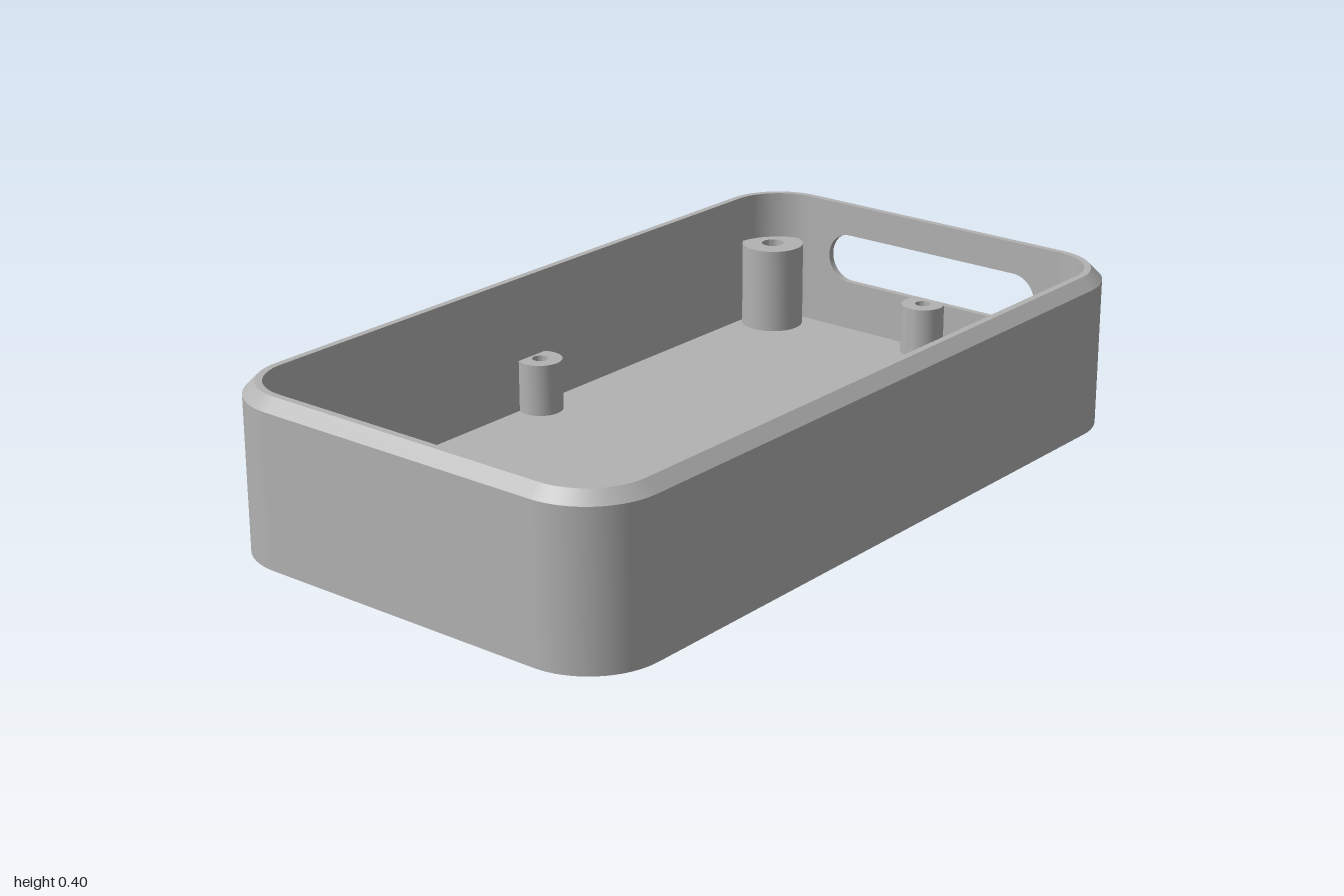
import * as THREE from 'three';
import { toCreasedNormals } from 'three/addons/utils/BufferGeometryUtils.js';

const HX = 0.82, HZ = 0.383;          // centres of the rounded corners
const R = 0.18, WALL = 0.045;         // outer corner radius, wall thickness
const H = 0.4, FLOOR = 0.06, CH = 0.028;
const SLOT = { half: 0.2545, y: 0.253, outer: 0.0925, inner: 0.0645 };
const STEPS = 16;                     // segments per quarter turn

// Sweep a profile of [radius, y] points round a rounded rectangle.
// An open sweep leaves out the straight stretch on the +x side.
function sweep(profile, hx, hz, open = false) {
  const pos = [], nor = [], idx = [];
  for (let p = 0; p < profile.length - 1; p++) {
    const [r0, y0] = profile[p], [r1, y1] = profile[p + 1];
    const len = Math.hypot(r1 - r0, y1 - y0);
    const nr = (y1 - y0) / len, ny = (r0 - r1) / len;
    const start = pos.length / 3, count = 4 * (STEPS + 1);
    for (let q = 0; q < 4; q++) {
      const cx = q === 0 || q === 3 ? hx : -hx, cz = q < 2 ? hz : -hz;
      for (let s = 0; s <= STEPS; s++) {
        const a = (q + s / STEPS) * Math.PI / 2, c = Math.cos(a), n = Math.sin(a);
        pos.push(cx + r0 * c, y0, cz + r0 * n, cx + r1 * c, y1, cz + r1 * n);
        nor.push(nr * c, ny, nr * n, nr * c, ny, nr * n);
      }
    }
    for (let i = 0; i < (open ? count - 1 : count); i++) {
      const a = start + 2 * i, b = start + 2 * ((i + 1) % count);
      idx.push(a, a + 1, b + 1, a, b + 1, b);
    }
  }
  const g = new THREE.BufferGeometry();
  g.setAttribute('position', new THREE.Float32BufferAttribute(pos, 3));
  g.setAttribute('normal', new THREE.Float32BufferAttribute(nor, 3));
  g.setIndex(idx);
  return g;
}

// Flat rounded rectangle with round holes; side is 1 facing up, -1 facing down
function plate(r, holes, side) {
  const s = new THREE.Shape();
  s.absarc(HX, HZ, r, 0, Math.PI / 2);
  s.absarc(-HX, HZ, r, Math.PI / 2, Math.PI);
  s.absarc(-HX, -HZ, r, Math.PI, Math.PI * 1.5);
  s.absarc(HX, -HZ, r, Math.PI * 1.5, Math.PI * 2);
  for (const h of holes) {
    const path = new THREE.Path();
    path.absarc(h.x, -side * h.z, h.bore, 0, Math.PI * 2, true);
    s.holes.push(path);
  }
  return new THREE.ShapeGeometry(s, STEPS / 2).rotateX(-side * Math.PI / 2);
}

// Flat side panel with the slot cut through it
function slotPanel(y0, y1, r, side) {
  const s = new THREE.Shape();
  s.moveTo(-HZ, y0).lineTo(HZ, y0).lineTo(HZ, y1).lineTo(-HZ, y1).closePath();
  const hole = new THREE.Path();
  hole.absarc(SLOT.half, SLOT.y, r, -Math.PI / 2, Math.PI / 2);
  hole.absarc(-SLOT.half, SLOT.y, r, Math.PI / 2, Math.PI * 1.5);
  s.holes.push(hole);
  return new THREE.ShapeGeometry(s, STEPS).rotateY(side * Math.PI / 2);
}

// Hollow post, open at the bottom; its back is trimmed inside the wall
function postGeometry({ x, z, radius, hole, bore, top, boreTop }) {
  const profile = [[radius, FLOOR], [radius, top], [hole, top]];
  if (bore > hole) profile.push([hole, boreTop], [bore, boreTop]);
  profile.push([bore, 0]);
  const lathe = new THREE.LatheGeometry(profile.map(p => new THREE.Vector2(...p)), 40);
  lathe.translate(x, 0, z);
  const p = lathe.attributes.position;
  for (let i = 0; i < p.count; i++) {
    p.setX(i, THREE.MathUtils.clamp(p.getX(i), -0.965, 0.965));
    p.setZ(i, THREE.MathUtils.clamp(p.getZ(i), -0.53, 0.53));
  }
  return toCreasedNormals(lathe, 0.6);
}

export function createModel() {
  const group = new THREE.Group();
  const grey = new THREE.MeshStandardMaterial({ color: 0xb2b2b2 });
  grey.name = 'grey plastic';
  const add = (name, geometry) => {
    const m = new THREE.Mesh(geometry, grey);
    m.name = name;
    group.add(m);
    return m;
  };

  // Posts: four counterbored corner posts and three small ones
  const posts = [];
  for (const x of [-0.873, 0.873]) for (const z of [-0.445, 0.445])
    posts.push({ name: 'cornerPost', x, z, radius: 0.08, hole: 0.029, bore: 0.052, top: 0.28, boreTop: 0.2 });
  for (const [x, z] of [[-0.93, 0], [0.93, 0], [0, -0.49]])
    posts.push({ name: 'smallPost', x, z, radius: 0.055, hole: 0.02, bore: 0.02, top: 0.19 });
  for (const p of posts) add(p.name, postGeometry(p));

  // Walls and chamfered rim
  const ri = R - WALL, shoulder = H - CH;
  add('outerWall', sweep([[R, 0], [R, shoulder]], HX, HZ, true));
  add('rim', sweep([[R, shoulder], [R - CH, H], [ri, H]], HX, HZ));
  add('innerWall', sweep([[ri, H], [ri, FLOOR]], HX, HZ, true));

  // Slotted side
  add('slotPanelOuter', slotPanel(0, shoulder, SLOT.outer, 1)).position.x = HX + R;
  add('slotPanelInner', slotPanel(FLOOR, H, SLOT.inner, -1)).position.x = HX + ri;
  const edge = sweep([[SLOT.outer, 1], [SLOT.inner, 1 - CH], [SLOT.inner, 1 - WALL]], 0, SLOT.half);
  add('slotEdge', edge.rotateZ(-Math.PI / 2)).position.y = SLOT.y;

  // Floor and underside
  add('floor', plate(ri, posts, 1)).position.y = FLOOR;
  add('underside', plate(R, posts, -1));
  return group;
}
